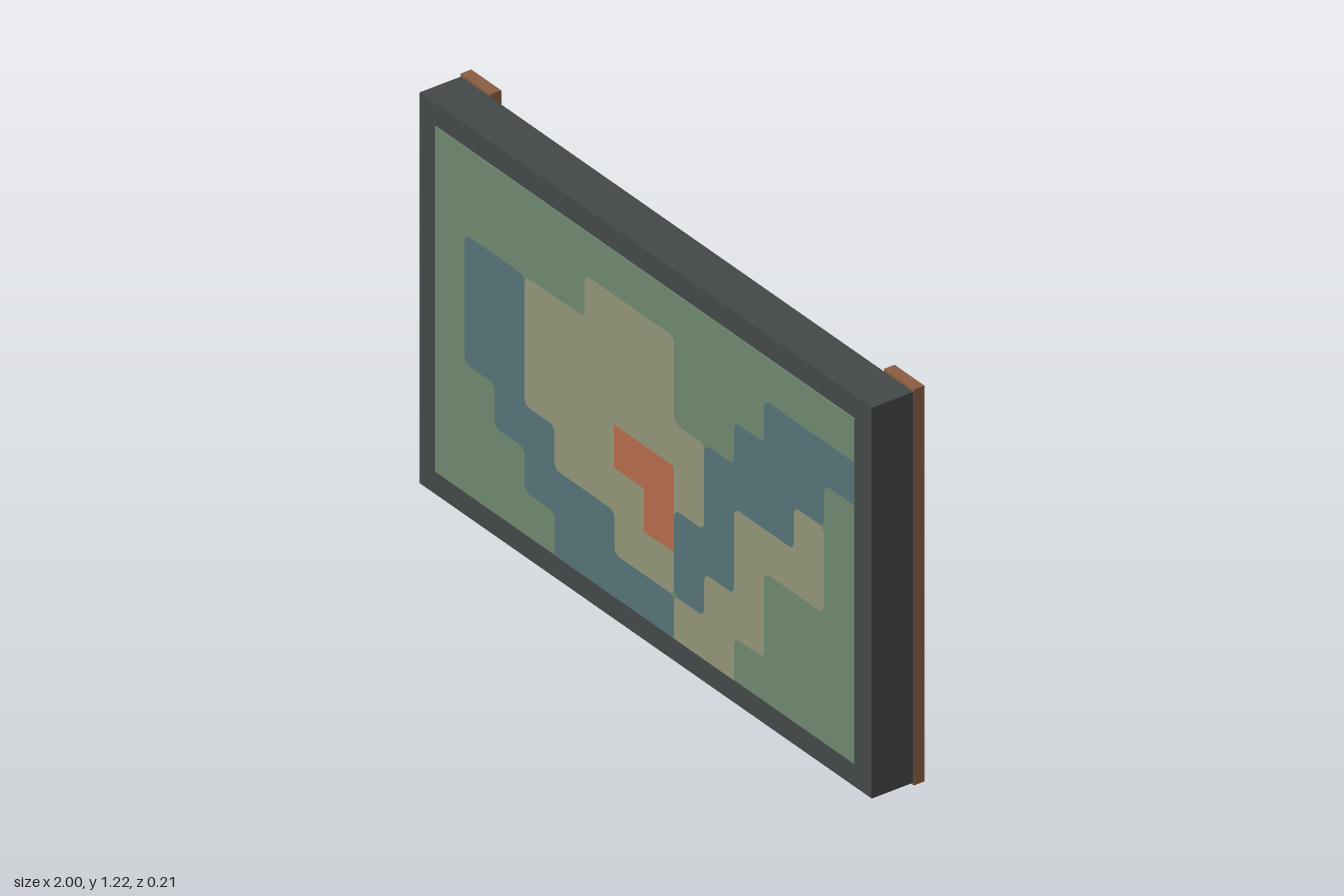
import * as THREE from 'three';

const material = (name, color) => {
  const m = new THREE.MeshStandardMaterial({ color });
  m.name = name;
  return m;
};

// Camouflage grid: 14 x 8 cells across the panel face
const COLS = 14, ROWS = 8;
const X0 = -0.925, Y0 = 0.08, W = 1.85, H = 1.06;

// Closed outline in cell corners, with softly rounded inner corners
function patchShape(cells, radius) {
  const n = cells.length;
  const pts = cells.map(([c, r]) => new THREE.Vector2(X0 + c * W / COLS, Y0 + r * H / ROWS));
  const shape = new THREE.Shape();
  pts.forEach((p, i) => {
    const [c, r] = cells[i];
    const onEdge = c === 0 || c === COLS || r === 0 || r === ROWS;
    const k = onEdge ? 0 : radius;
    const toward = (q) => q.clone().sub(p).setLength(k).add(p);
    const a = k ? toward(pts[(i + n - 1) % n]) : p;
    const b = k ? toward(pts[(i + 1) % n]) : p;
    if (i === 0) shape.moveTo(a.x, a.y);
    else shape.lineTo(a.x, a.y);
    if (k) shape.quadraticCurveTo(p.x, p.y, b.x, b.y);
  });
  shape.closePath();
  return shape;
}

export function createModel() {
  const model = new THREE.Group();
  model.name = 'wallPanel';

  const charcoal = material('charcoal', 0x444849);
  const brown = material('brown', 0x8b5f43);
  const green = material('sageGreen', 0x6f8870);
  const blue = material('slateBlue', 0x547377);
  const tan = material('khaki', 0x929678);
  const red = material('terracotta', 0xb66b4c);

  const box = (name, mat, [x1, x2], [y1, y2], [z1, z2]) => {
    const mesh = new THREE.Mesh(new THREE.BoxGeometry(x2 - x1, y2 - y1, z2 - z1), mat);
    mesh.position.set((x1 + x2) / 2, (y1 + y2) / 2, (z1 + z2) / 2);
    mesh.name = name;
    model.add(mesh);
  };

  // Slab, raised face, rear battens and rear box
  box('slab', charcoal, [-0.998, 0.998], [0.008, 1.208], [-0.036, 0.1]);
  box('face', green, [X0, X0 + W], [Y0, Y0 + H], [0.098, 0.1035]);
  box('leftBatten', brown, [0.868, 1], [0, 1.216], [-0.071, -0.036]);
  box('rightBatten', brown, [-1, -0.868], [0, 1.216], [-0.071, -0.036]);
  box('rearBox', charcoal, [0.395, 0.657], [0.148, 1.07], [-0.105, -0.036]);

  // Painted patches
  const patch = (name, mat, z, radius, cells) => {
    const mesh = new THREE.Mesh(new THREE.ShapeGeometry(patchShape(cells, radius), 5), mat);
    mesh.position.z = z;
    mesh.name = name;
    model.add(mesh);
  };
  const R = 0.025;
  patch('lowerBluePatch', blue, 0.1045, R, [
    [1, 6], [1, 3], [2, 3], [2, 2], [3, 2], [3, 1], [4, 1], [4, 0],
    [8, 0], [8, 1], [6, 1], [6, 2], [4, 2], [4, 3], [3, 3], [3, 6]]);
  patch('upperBluePatch', blue, 0.1045, R, [
    [11, 7], [11, 6], [10, 6], [10, 5], [9, 5], [9, 3], [8, 3], [8, 1], [9, 1],
    [9, 2], [10, 2], [10, 4], [12, 4], [12, 5], [13, 5], [13, 6], [14, 6], [14, 7]]);
  patch('largeKhakiPatch', tan, 0.1045, R, [
    [5, 7], [5, 6], [3, 6], [3, 3], [4, 3], [4, 2], [6, 2],
    [6, 1], [8, 1], [8, 3], [9, 3], [9, 5], [8, 5], [8, 7]]);
  patch('smallKhakiPatch', tan, 0.1045, R, [
    [12, 5], [12, 4], [10, 4], [10, 2], [9, 2], [9, 1], [8, 1],
    [8, 0], [10, 0], [10, 1], [11, 1], [11, 3], [13, 3], [13, 5]]);
  patch('terracottaPatch', red, 0.1055, 0.004, [
    [6, 4], [6, 3], [7, 3], [7, 2], [8, 2], [8, 4]]);

  return model;
}
